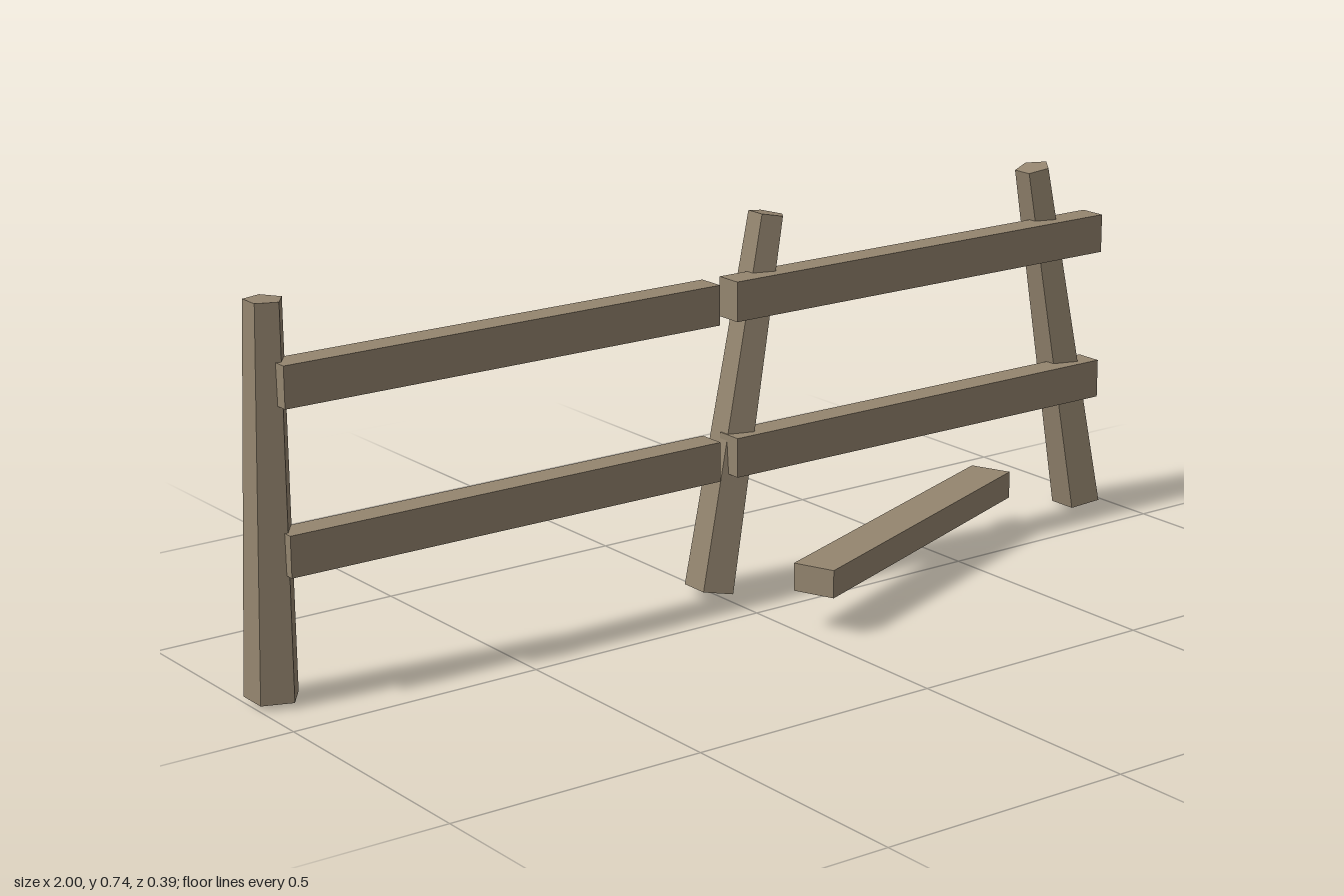
import * as THREE from 'three';

export function createModel() {
  const group = new THREE.Group();
  const wood = new THREE.MeshStandardMaterial({ color: 0x94856f });
  wood.name = 'weatheredWood';

  function add(name, geometry, x, y, z) {
    const mesh = new THREE.Mesh(geometry, wood);
    mesh.name = name;
    mesh.position.set(x, y, z);
    group.add(mesh);
    return mesh;
  }

  // Leaning five-sided posts, tapered towards the top, one corner facing +x
  const bottomY = 0.0125, topY = 0.7315, postZ = -0.146;
  function addPost(name, bottomX, topX) {
    const dx = topX - bottomX, dy = topY - bottomY;
    const geometry = new THREE.CylinderGeometry(0.036, 0.0515, Math.hypot(dx, dy), 5, 1, false, Math.PI / 2).toNonIndexed();
    geometry.computeVertexNormals(); // flat facets
    const post = add(name, geometry, (bottomX + topX) / 2, (bottomY + topY) / 2, postZ);
    post.rotation.z = -Math.atan2(dx, dy);
  }
  addPost('rightPost', -0.957, -0.943);
  addPost('middlePost', 0.0015, 0.136);
  addPost('leftPost', 0.948, 0.804);

  // Two levels of rails on each side of the middle gap
  for (const [level, y] of [['lower', 0.284], ['upper', 0.588]]) {
    for (const [side, x0, x1] of [['Right', -0.943, -0.02], ['Left', 0.02, 0.94]]) {
      add(level + side + 'Rail', new THREE.BoxGeometry(x1 - x0, 0.077, 0.055), (x0 + x1) / 2, y, -0.1135);
    }
  }

  // Loose plank set at an angle beneath the left rails
  const plank = add('loosePlank', new THREE.BoxGeometry(0.713, 0.054, 0.085), 0.346, 0.107, 0.022);
  plank.rotation.y = 0.38;

  return group;
}
